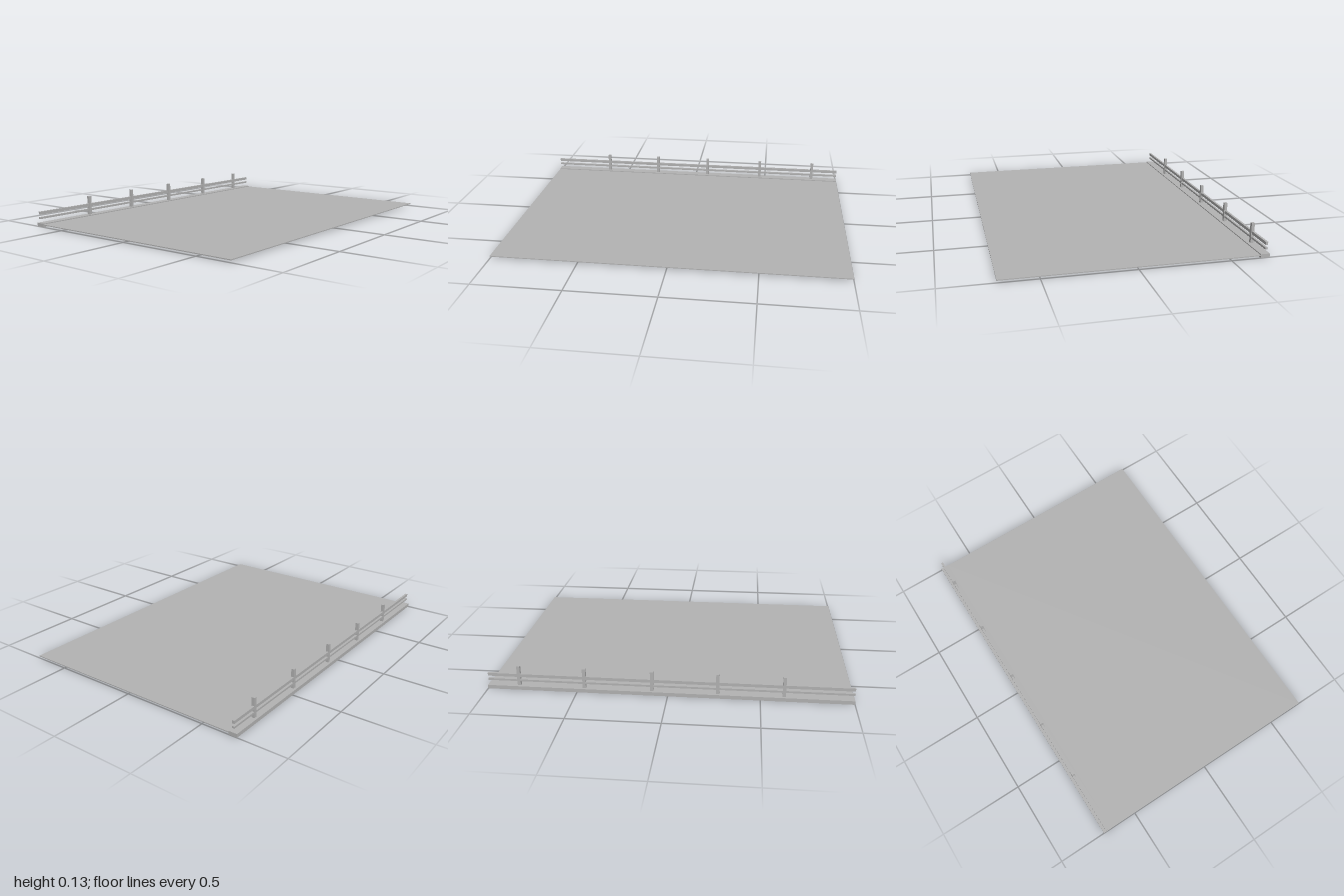
import * as THREE from 'three';

export function createModel() {
  const model = new THREE.Group();
  model.name = 'roadWithGuardRail';
  const concrete = new THREE.MeshStandardMaterial({ name: 'concrete grey', color: 0xb2b2b2 });

  // Box given by its minimum and maximum corners
  const box = (name, [x0, y0, z0], [x1, y1, z1], parent = model) => {
    const mesh = new THREE.Mesh(new THREE.BoxGeometry(x1 - x0, y1 - y0, z1 - z0), concrete);
    mesh.position.set((x0 + x1) / 2, (y0 + y1) / 2, (z0 + z1) / 2);
    mesh.name = name;
    parent.add(mesh);
    return mesh;
  };

  // Thin road deck and the kerb along its back edge
  box('deck', [-1, 0.011, -0.662], [1, 0.016, 0.713]);
  box('kerb', [-1, 0, -0.713], [1, 0.021, -0.662]);

  // Railing: two long rails passing through five posts
  const railing = new THREE.Group();
  railing.name = 'railing';
  model.add(railing);
  box('topRail', [-1, 0.071, -0.698], [1, 0.088, -0.685], railing);
  box('lowerRail', [-1, 0.045, -0.698], [1, 0.056, -0.685], railing);
  for (const x of [-0.627, -0.27, 0.088, 0.461, 0.826]) {
    box('post', [x - 0.009, 0.021, -0.699], [x + 0.009, 0.134, -0.681], railing);
  }
  return model;
}
